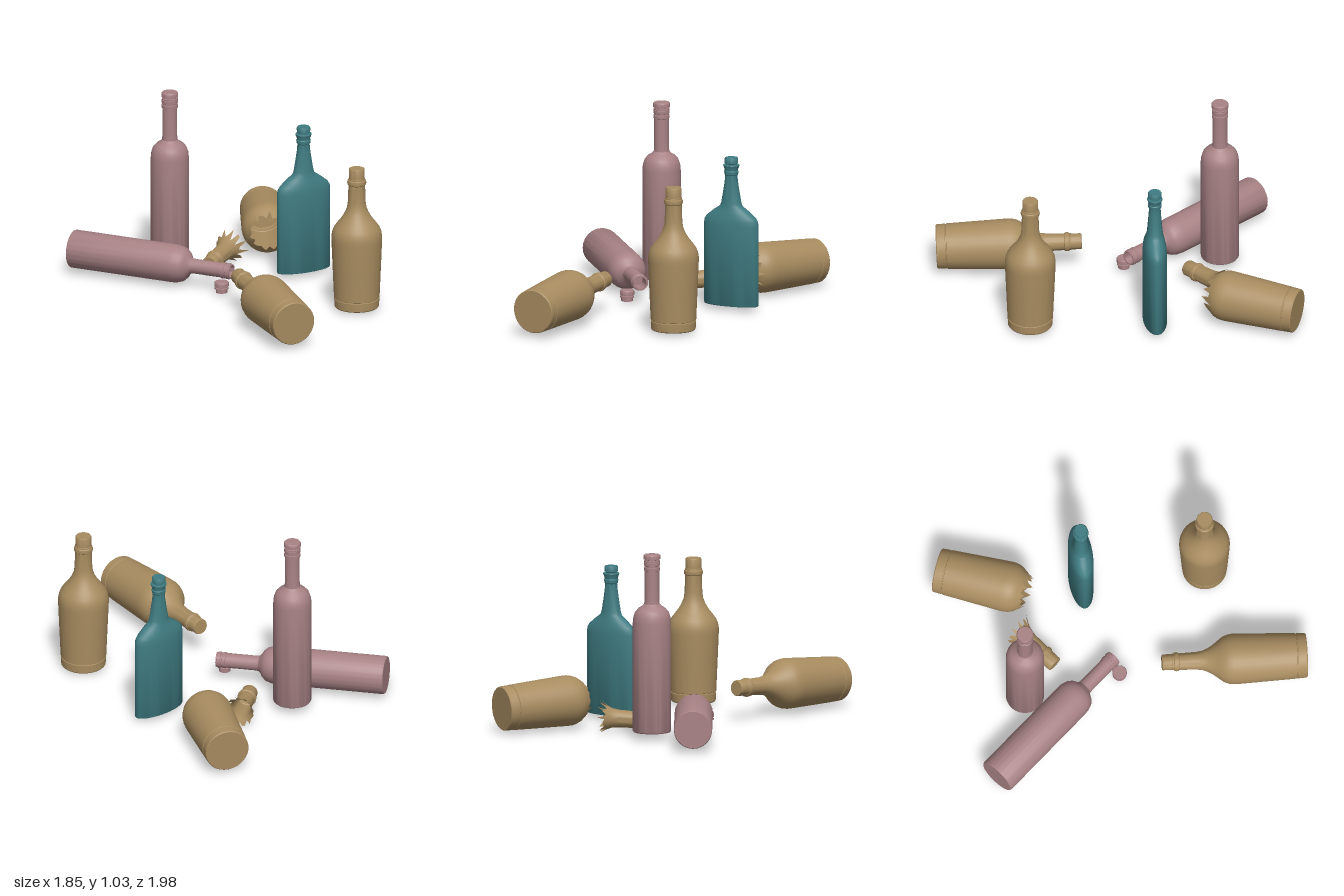
import * as THREE from 'three';
import { toCreasedNormals } from 'three/addons/utils/BufferGeometryUtils.js';

const paint = (color) => new THREE.MeshStandardMaterial({ color, side: THREE.DoubleSide });
const PINK = paint(0xa88285), BROWN = paint(0xa88c60), TEAL = paint(0x3f7c82);
const UP = new THREE.Vector3(0, 1, 0);

// Round solid from [radius, height] pairs
function turned(name, profile, segments, material) {
  const points = profile.map(([r, y]) => new THREE.Vector2(r, y));
  const geometry = toCreasedNormals(new THREE.LatheGeometry(points, segments), 0.6);
  const mesh = new THREE.Mesh(geometry, material);
  mesh.name = name;
  return mesh;
}

// Group whose own y axis runs from base towards tip
function place(name, base, tip, ...meshes) {
  const group = new THREE.Group();
  group.name = name;
  const from = new THREE.Vector3(...base);
  const dir = new THREE.Vector3(...tip).sub(from).normalize();
  group.position.copy(from);
  group.quaternion.setFromUnitVectors(UP, dir);
  group.add(...meshes);
  return group;
}

// Slim bottle: body, rounded shoulder, neck with ring
const slimBody = [
  [0, 0], [0.102, 0], [0.106, 0.006], [0.106, 0.61], [0.103, 0.64], [0.093, 0.67],
  [0.075, 0.69], [0.055, 0.702], [0.043, 0.715], [0.041, 0.74], [0.041, 0.90],
  [0.045, 0.902], [0.045, 0.918], [0.041, 0.92], [0.041, 0.928],
  [0.045, 0.93], [0.045, 0.946], [0.041, 0.948], [0.041, 0.955],
];
const slimMouth = [[0.033, 0.955], [0.033, 0.86], [0, 0.86]];
const slimCap = [
  [0, 0], [0.032, 0], [0.032, 0.018], [0.038, 0.02], [0.038, 0.028], [0.033, 0.03],
  [0.033, 0.034], [0.04, 0.036], [0.04, 0.056], [0.036, 0.062], [0, 0.062],
];

// Broad bottle: tapered body, foot groove, curved shoulder, ringed neck
const broadBottle = [
  [0, 0], [0.119, 0], [0.123, 0.005], [0.125, 0.05], [0.122, 0.052], [0.122, 0.056],
  [0.126, 0.058], [0.133, 0.22], [0.14, 0.385], [0.14, 0.41], [0.136, 0.435], [0.126, 0.46],
  [0.105, 0.488], [0.084, 0.515], [0.066, 0.545], [0.054, 0.575], [0.049, 0.61],
  [0.046, 0.705], [0.051, 0.709], [0.053, 0.72], [0.051, 0.731], [0.046, 0.735],
  [0.046, 0.742], [0.044, 0.744], [0.044, 0.795], [0.041, 0.8], [0, 0.8],
];

function radiusAt(profile, y) {
  for (let i = 2; i < profile.length; i++) {
    const [r0, y0] = profile[i - 1], [r1, y1] = profile[i];
    if (y <= y1 && y1 > y0) return r0 + (r1 - r0) * (y - y0) / (y1 - y0);
  }
  return 0;
}

// Uneven break line: height for each column round the bottle
const jag = (j) => 0.022 * Math.sin(j * 2.4) + 0.016 * Math.sin(j * 4.1 + 1);

// Broken part: slide every vertex past the break line back onto it
function broken(name, keepLower, cut) {
  const segments = 32;
  const points = [];
  for (let i = 0; i < broadBottle.length; i++) {
    const [r, y] = broadBottle[i];
    points.push(new THREE.Vector2(r, y));
    if (y > 0.4 && y < 0.6) {
      const mid = (y + broadBottle[i + 1][1]) / 2;
      points.push(new THREE.Vector2(radiusAt(broadBottle, mid), mid));
    }
  }
  const geometry = new THREE.LatheGeometry(points, segments);
  const p = geometry.attributes.position;
  for (let k = 0; k < p.count; k++) {
    const column = Math.floor(k / points.length) % segments;
    const edge = cut + jag(column);
    const y = p.getY(k);
    if (keepLower ? y <= edge : y >= edge) continue;
    const angle = column / segments * Math.PI * 2;
    const r = radiusAt(broadBottle, edge);
    p.setXYZ(k, r * Math.sin(angle), edge, r * Math.cos(angle));
  }
  const mesh = new THREE.Mesh(toCreasedNormals(geometry, 0.6), BROWN);
  mesh.name = name;
  return mesh;
}

// Oval solid lofted through [height, half width, half depth] sections
function ovalLoft(name, sections, segments, material) {
  const geometry = new THREE.LatheGeometry(
    sections.map(([y, a]) => new THREE.Vector2(a, y)), segments);
  const p = geometry.attributes.position;
  for (let k = 0; k < p.count; k++) {
    const [, a, b] = sections[k % sections.length];
    p.setZ(k, a > 0 ? p.getZ(k) * b / a : 0);
  }
  const mesh = new THREE.Mesh(toCreasedNormals(geometry, 0.6), material);
  mesh.name = name;
  return mesh;
}

export function createModel() {
  const model = new THREE.Group();
  model.name = 'bottles';

  // Slim bottle, standing with its cap on
  const cap = turned('cap', slimCap, 24, PINK);
  cap.scale.set(1.17, 1, 1.17);
  cap.position.y = 0.928;
  model.add(place('standingSlimBottle', [-0.445, 0.036, -0.11], [-0.445, 1, -0.11],
    turned('slimBody', [...slimBody, [0, 0.955]], 24, PINK), cap));

  // Slim bottle on its side, open, with its cap beside it
  model.add(place('lyingSlimBottle', [-0.925, 0.122, 0.12], [0.03, 0.114, 0.12],
    turned('openSlimBody', [...slimBody, ...slimMouth], 24, PINK)));
  model.add(place('looseCap', [0, 0.012, 0.19], [0, 1, 0.19],
    turned('cap', slimCap, 24, PINK)));

  // Broad bottles, standing and lying
  model.add(place('standingBroadBottle', [0.78, 0.01, 0.11], [0.78, 1, 0.11],
    turned('broadBody', broadBottle, 32, BROWN)));
  model.add(place('lyingBroadBottle', [0.75, 0.14, 0.90], [0.185, 0.178, 0.365],
    turned('broadBody', broadBottle, 32, BROWN)));

  // Broad bottle broken in two
  model.add(place('brokenBottleBase', [-0.255, 0.132, -0.94], [0.02, 0.155, -0.415],
    broken('brokenBody', true, 0.5)));
  const neck = broken('brokenNeck', false, 0.525);
  neck.position.y = -0.5;
  model.add(place('brokenBottleNeck', [-0.205, 0.078, -0.405], [-0.205, 0.056, -0.105], neck));

  // Flat oval bottle with flared neck and stopper
  const flask = place('flatBottle', [0.26, 0.02, -0.34], [0.26, 1, -0.34],
    ovalLoft('flatBody', [
      [0, 0, 0], [0, 0.16, 0.063], [0.005, 0.163, 0.066], [0.45, 0.163, 0.066],
      [0.475, 0.16, 0.064], [0.495, 0.148, 0.061], [0.53, 0.105, 0.053], [0.556, 0.066, 0.046],
      [0.575, 0.058, 0.044], [0.63, 0.048, 0.039], [0.69, 0.038, 0.034], [0.73, 0.034, 0.032],
      [0.734, 0.038, 0.036], [0.752, 0.041, 0.038], [0.756, 0.037, 0.035], [0.762, 0.037, 0.035],
      [0.785, 0.046, 0.043], [0.79, 0.044, 0.041], [0.79, 0, 0],
    ], 32, TEAL),
    turned('stopper', [
      [0, 0.775], [0.03, 0.775], [0.03, 0.795], [0.037, 0.798], [0.038, 0.822],
      [0.034, 0.829], [0, 0.829],
    ], 32, TEAL));
  flask.rotation.y = 0.908;
  model.add(flask);

  return model;
}
